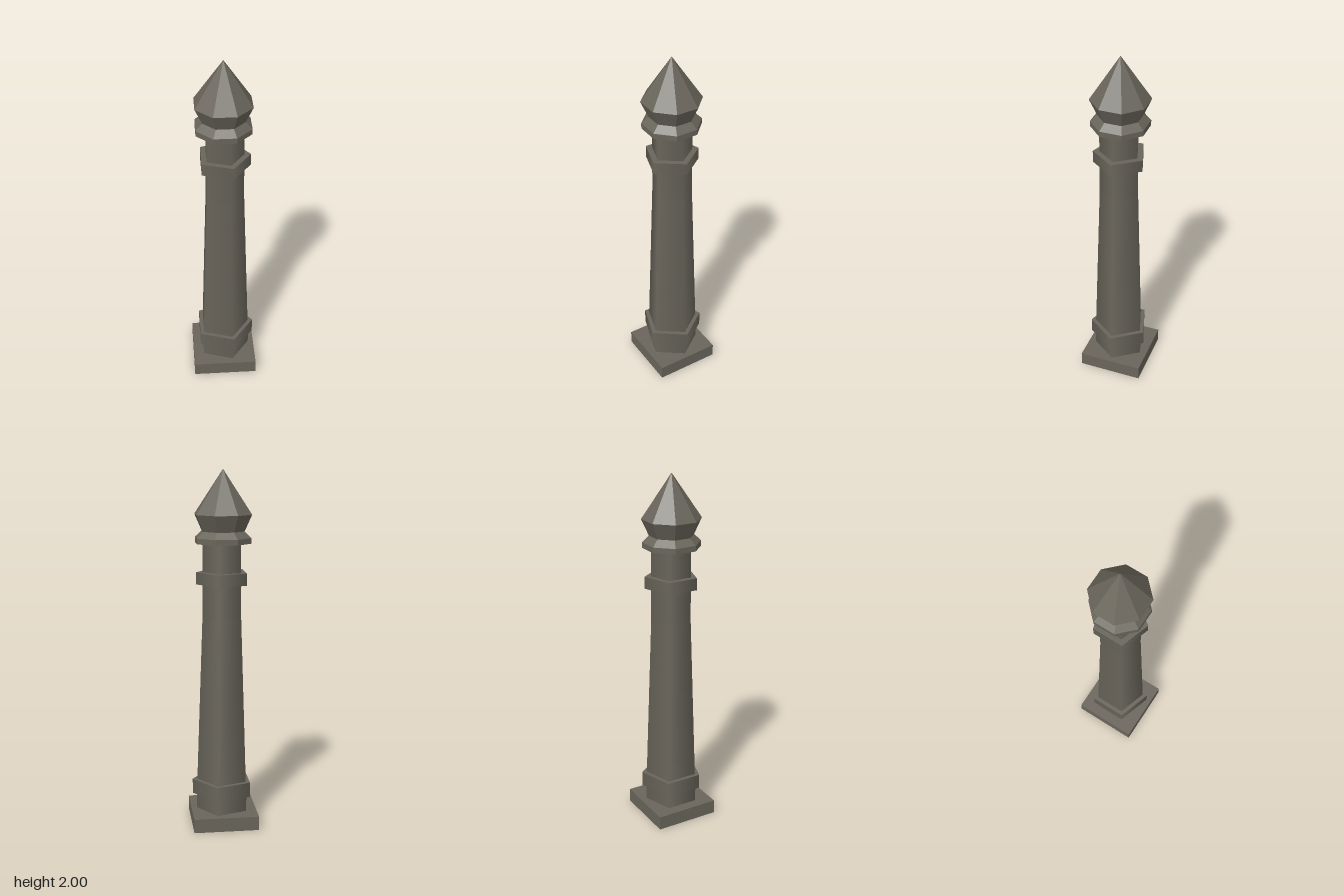
import * as THREE from 'three';

const stone = new THREE.MeshStandardMaterial({ color: 0x69655b, side: THREE.DoubleSide });
stone.name = 'dark stone';

export function createModel() {
  const group = new THREE.Group();
  group.name = 'stonePost';

  const add = (name, geometry) => {
    const mesh = new THREE.Mesh(geometry, stone);
    mesh.name = name;
    group.add(mesh);
  };

  // Smooth five-sided drum with one corner towards +x
  const drum = (name, y0, y1, rBottom, rTop = rBottom) => {
    const g = new THREE.CylinderGeometry(rTop, rBottom, y1 - y0, 5, 1, false, Math.PI / 2);
    add(name, g.translate(0, (y0 + y1) / 2, 0));
  };

  // Faceted eight-sided turning; profile widths are measured to the flats
  const octagon = (name, profile) => {
    const points = profile.map(([w, y]) => new THREE.Vector2(w / Math.cos(Math.PI / 8), y));
    const g = new THREE.LatheGeometry(points, 8, Math.PI / 8).toNonIndexed();
    g.computeVertexNormals();
    add(name, g);
  };

  // Square foot, open underneath: drop the bottom face of the box
  const foot = new THREE.BoxGeometry(0.366, 0.08, 0.366).translate(0, 0.04, 0);
  const index = Array.from(foot.index.array);
  index.splice(18, 6);
  foot.setIndex(index);
  foot.clearGroups();
  add('foot', foot);

  // Pentagonal column and its bands
  drum('plinth', 0.08, 0.17, 0.152);
  drum('lowerBand', 0.17, 0.255, 0.175);
  drum('shaft', 0.255, 1.2, 0.148, 0.114);
  drum('neck', 1.2, 1.605, 0.114, 0.112);
  drum('upperBand', 1.38, 1.447, 0.148);

  // Octagonal collar and pointed finial
  octagon('collar', [[0, 1.605], [0.147, 1.605], [0.147, 1.635], [0.112, 1.67]]);
  octagon('finial', [[0.112, 1.67], [0.15, 1.76], [0, 2]]);

  return group;
}
